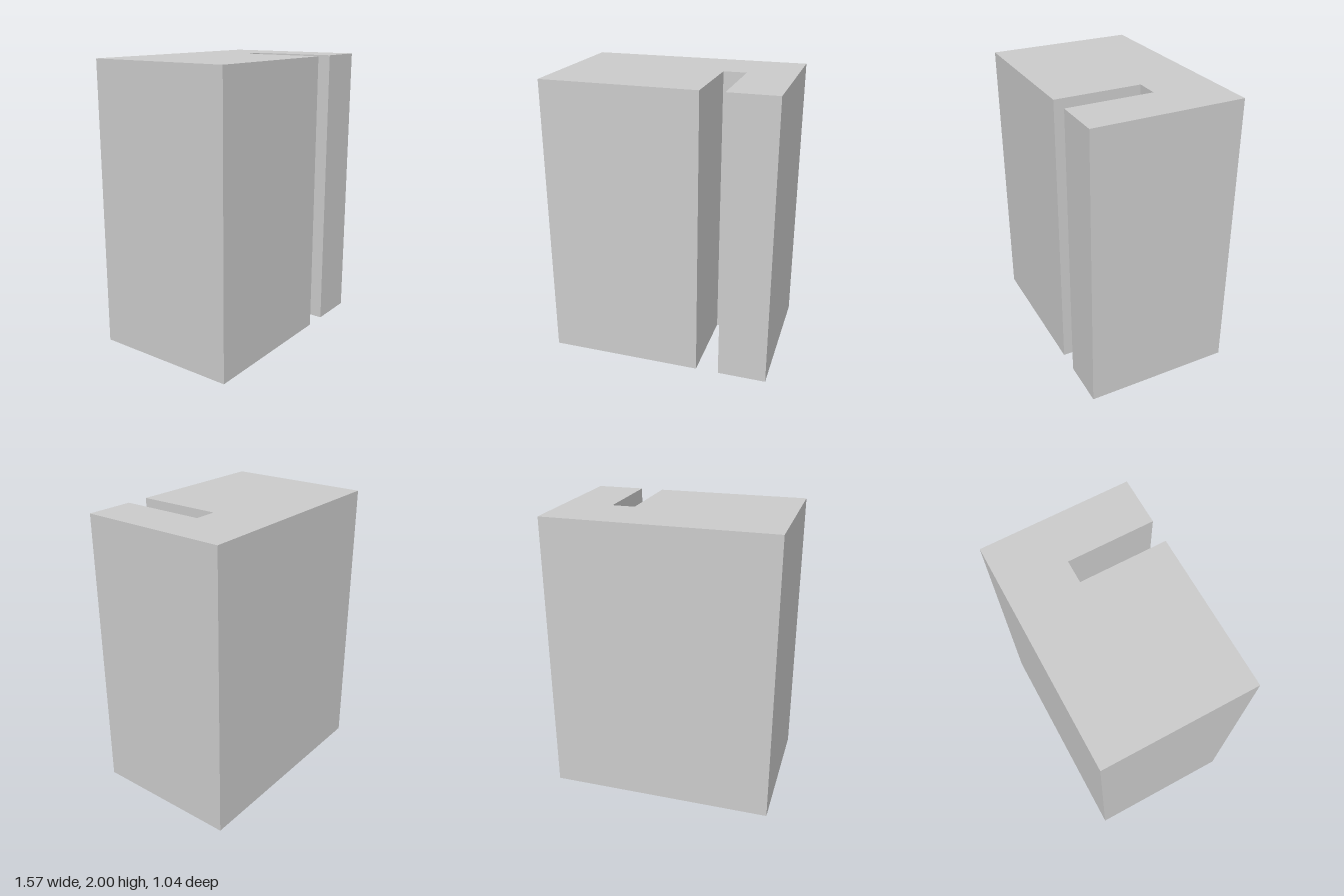
import * as THREE from 'three';

const HALF_W = 0.787, HALF_D = 0.518, HEIGHT = 2;
const SLOT = { left: 0.29, right: 0.45, back: -0.08 };

export function createModel() {
  const group = new THREE.Group();
  group.name = 'slottedBlock';

  // Floor plan as [x, z], anticlockwise seen from above, with the slot open to the front
  const plan = [
    [-HALF_W, HALF_D], [SLOT.left, HALF_D], [SLOT.left, SLOT.back],
    [SLOT.right, SLOT.back], [SLOT.right, HALF_D], [HALF_W, HALF_D],
    [HALF_W, -HALF_D], [-HALF_W, -HALF_D],
  ];
  const shape = new THREE.Shape(plan.map(([x, z]) => new THREE.Vector2(x, -z)));

  // Raise the plan to full height, standing on y = 0
  const geometry = new THREE.ExtrudeGeometry(shape, { depth: HEIGHT, bevelEnabled: false });
  geometry.rotateX(-Math.PI / 2);

  const block = new THREE.Mesh(geometry, new THREE.MeshStandardMaterial({ color: 0xcccccc }));
  block.name = 'block';
  group.add(block);
  return group;
}
